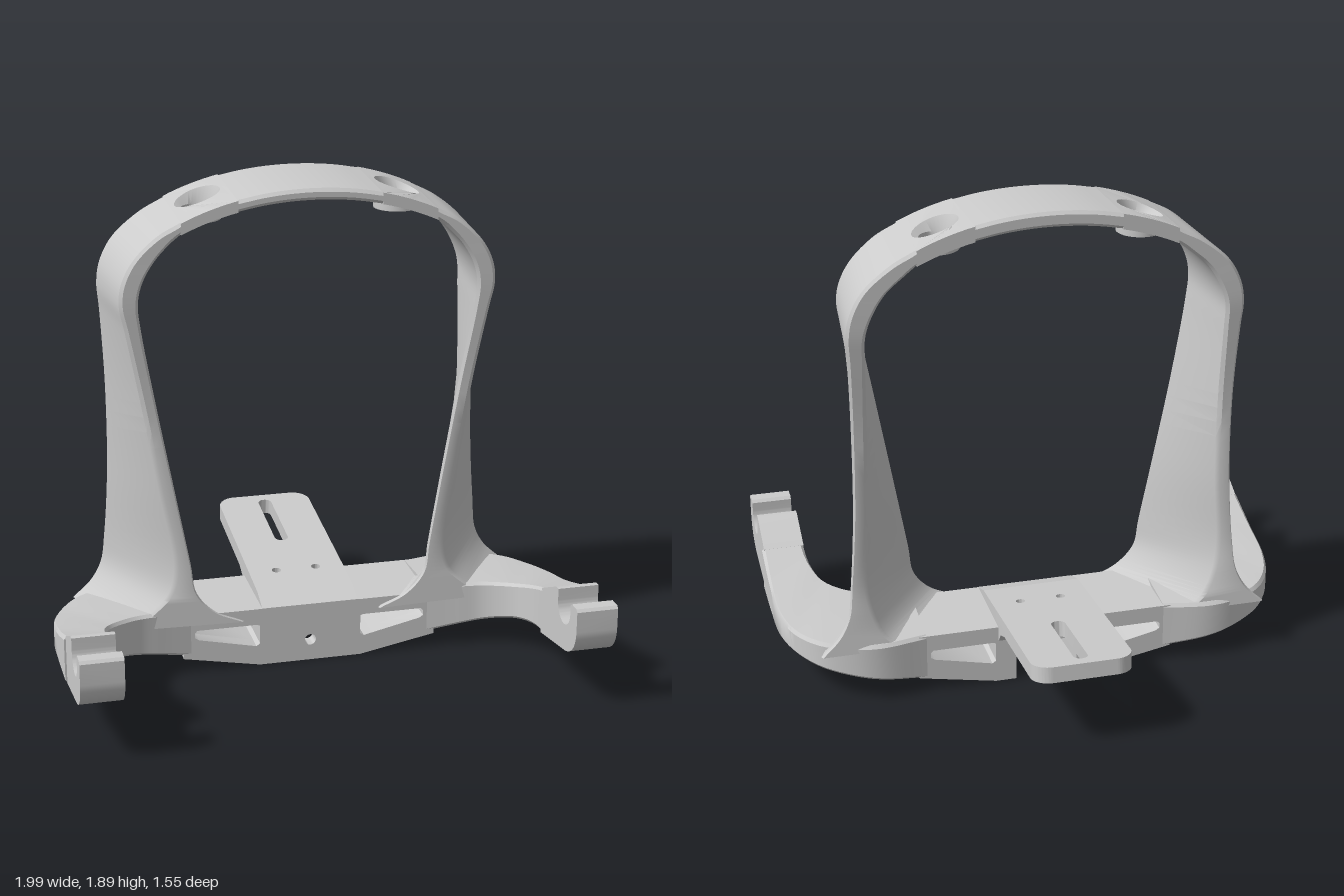
import * as THREE from 'three';
import { toCreasedNormals } from 'three/addons/utils/BufferGeometryUtils.js';

const V = (x, y, z) => new THREE.Vector3(x, y, z);
const lerp = THREE.MathUtils.lerp;

// Make a closed solid face outwards and give it creased normals
function finish(geo) {
  const g = geo.index ? geo.toNonIndexed() : geo;
  const p = g.attributes.position, a = V(), b = V(), c = V();
  let volume = 0;
  for (let i = 0; i < p.count; i += 3) {
    a.fromBufferAttribute(p, i); b.fromBufferAttribute(p, i + 1); c.fromBufferAttribute(p, i + 2);
    volume += a.dot(b.cross(c));
  }
  if (volume < 0) {
    for (let i = 0; i < p.count; i += 3) {
      b.fromBufferAttribute(p, i + 1); c.fromBufferAttribute(p, i + 2);
      p.setXYZ(i + 1, c.x, c.y, c.z); p.setXYZ(i + 2, b.x, b.y, b.z);
    }
  }
  g.deleteAttribute('normal');
  return toCreasedNormals(g, 0.6);
}

// Cut the four corners of a section, giving eight points
function bevel(q, r = 0.012) {
  const out = [];
  q.forEach((p, i) => {
    for (const n of [q[(i + 3) % 4], q[(i + 1) % 4]]) {
      const d = n.clone().sub(p), len = d.length();
      out.push(p.clone().addScaledVector(d, Math.min(r, len * 0.3) / len));
    }
  });
  return out;
}

// Smooth solid through a row of four-cornered sections
function loft(rows, samples) {
  const curves = [0, 1, 2, 3].map(k => new THREE.CatmullRomCurve3(rows.map(r => r[k])));
  const pos = [], n = 8;
  for (let i = 0; i <= samples; i++) {
    for (const p of bevel(curves.map(c => c.getPoint(i / samples)))) pos.push(p.x, p.y, p.z);
  }
  const idx = [], last = samples * n;
  for (let i = 0; i < samples; i++) for (let j = 0; j < n; j++) {
    const a = i * n + j, b = i * n + (j + 1) % n;
    idx.push(a, b, a + n, b, b + n, a + n);
  }
  for (let j = 1; j < n - 1; j++) idx.push(0, j + 1, j, last, last + j, last + j + 1);
  const g = new THREE.BufferGeometry();
  g.setAttribute('position', new THREE.Float32BufferAttribute(pos, 3));
  g.setIndex(idx);
  return g;
}

const poly = pts => new THREE.Shape(pts.map(p => new THREE.Vector2(p[0], p[1])));
const circle = (x, y, r) => new THREE.Path().absarc(x, y, r, 0, Math.PI * 2, true);
const extrude = (shape, depth) =>
  new THREE.ExtrudeGeometry(shape, { depth, bevelEnabled: false, curveSegments: 16 });

// Crown of the hoop: height of its outer and inner skin
const crown = (x, z) => 1.89 - 0.375 * x * x - 0.25 * x ** 4 - 0.015 * (z + 0.27) / 0.37;
const crownIn = x => 1.832 - 0.375 * x * x - 0.25 * x ** 4;
const crownRow = x => [V(x, crown(x, 0.1), 0.1), V(x, crown(x, -0.27), -0.27),
  V(x, crownIn(x), -0.27), V(x, crownIn(x), 0.1)];

// Linear look-up through [input, output] pairs
function ramp(t, table) {
  for (let i = 1; i < table.length; i++) {
    const [a, va] = table[i - 1], [b, vb] = table[i];
    if (t <= b) return lerp(va, vb, Math.max(0, (t - a) / (b - a)));
  }
  return table[table.length - 1][1];
}
const frontZ = y => ramp(y, [[0.2, 0.115], [0.5, 0.1], [1, 0.08], [1.5, 0.1]]);
const backZ = y => ramp(y, [[0.2, -0.26], [0.5, -0.225], [1, -0.22], [1.5, -0.27]]);

export function createModel() {
  const model = new THREE.Group();
  const material = new THREE.MeshStandardMaterial({ color: 0xcccccc });
  const add = (name, geo) => {
    const mesh = new THREE.Mesh(finish(geo), material);
    mesh.name = name;
    model.add(mesh);
  };
  const addPair = (name, geo) => {
    add('left' + name, geo.clone());
    add('right' + name, geo.clone().scale(-1, 1, 1));
  };

  // Twisted hoop legs: x,y of front outer, front inner, back outer, back inner corners
  const legRows = [
    [0.70, 0.21, 0.26, 0.20, 0.88, 0.21, 0.56, 0.21],
    [0.62, 0.27, 0.37, 0.25, 0.81, 0.28, 0.63, 0.27],
    [0.55, 0.34, 0.44, 0.33, 0.77, 0.36, 0.67, 0.36],
    [0.525, 0.45, 0.46, 0.45, 0.755, 0.48, 0.69, 0.48],
    [0.575, 0.75, 0.515, 0.75, 0.735, 0.75, 0.675, 0.75],
    [0.635, 1.1, 0.58, 1.1, 0.73, 1.1, 0.672, 1.1],
    [0.69, 1.38, 0.63, 1.38, 0.737, 1.38, 0.672, 1.38],
    [0.71, 1.48, 0.64, 1.48, 0.742, 1.48, 0.67, 1.48],
    [0.70, 1.56, 0.625, 1.555, 0.728, 1.56, 0.645, 1.555],
    [0.655, 1.645, 0.58, 1.635, 0.68, 1.65, 0.595, 1.635],
    [0.565, 1.73, 0.52, 1.70, 0.575, 1.74, 0.52, 1.70],
  ].map(([a, b, c, d, e, f, g, h]) => [
    V(a, b, frontZ(b)), V(e, f, backZ(f)), V(g, h, backZ(h)), V(c, d, frontZ(d))]);
  legRows.push(crownRow(0.48));
  addPair('HoopLeg', loft(legRows, 66));

  // Crown between the two bolt holes
  add('hoopCrown', loft([-0.27, -0.18, -0.09, 0, 0.09, 0.18, 0.27].map(crownRow), 18));

  // Crown panels, each with a hole, bent to the crown
  const outline = [];
  for (let i = 0; i <= 8; i++) outline.push([0.27 + 0.21 * i / 8, -0.1]);
  for (let i = 8; i >= 0; i--) outline.push([0.27 + 0.21 * i / 8, 0.27]);
  const panelShape = poly(outline);
  panelShape.holes.push(circle(0.38, 0.11, 0.085));
  const panel = extrude(panelShape, 1).rotateX(-Math.PI / 2);
  const pp = panel.attributes.position;
  for (let i = 0; i < pp.count; i++) {
    const x = pp.getX(i);
    pp.setY(i, pp.getY(i) > 0.5 ? crown(x, pp.getZ(i)) : crownIn(x));
  }
  addPair('CrownPanel', panel);

  // Countersunk bosses in the panels
  const boss = new THREE.LatheGeometry([[0.06, 1.74], [0.088, 1.74], [0.088, 1.77],
    [0.085, 1.83], [0.06, 1.78], [0.06, 1.74]].map(p => new THREE.Vector2(...p)), 32);
  boss.translate(0.38, 0, -0.11);
  const bp = boss.attributes.position;
  for (let i = 0; i < bp.count; i++) {
    if (bp.getY(i) > 1.8) bp.setY(i, crown(bp.getX(i), bp.getZ(i)));
  }
  addPair('BoltBoss', boss);

  // Centre of the base: pierced front wall, and a rear part with a pocket
  const windows = [1, -1].map(s => new THREE.Path([[0.2, 0.165], [0.21, 0.17], [0.445, 0.17],
    [0.455, 0.16], [0.455, 0.14], [0.44, 0.13], [0.215, 0.08], [0.2, 0.09]]
    .map(p => new THREE.Vector2(s * p[0], p[1]))));
  const sides = [[0.2, 0], [0.5, 0.057], [0.5, 0.235], [-0.5, 0.235], [-0.5, 0.057], [-0.2, 0]];
  const wall = poly(sides);
  wall.holes.push(...windows, circle(0, 0.085, 0.022));
  add('baseFrontWall', extrude(wall, 0.06).translate(0, 0, 0.03));
  const rear = poly([...sides, [-0.12, 0], [-0.12, 0.15], [0.12, 0.15], [0.12, 0]]);
  rear.holes.push(...windows);
  add('baseRear', extrude(rear, 0.27).translate(0, 0, -0.24));

  // Curved arms sweeping forward: outer x,z and inner x,z
  const top = z => ramp(z, [[-0.1, 0.238], [0, 0.245], [0.2, 0.285], [0.41, 0.353]]);
  const bottom = (x, z) =>
    lerp(0.19 * (x - 0.2), 0.167, THREE.MathUtils.smoothstep(z, 0, 0.41));
  const armRows = [
    [0.47, -0.24, 0.47, 0.09], [0.65, -0.27, 0.59, 0.11], [0.76, -0.25, 0.68, 0.13],
    [0.87, -0.19, 0.745, 0.17], [0.95, -0.08, 0.79, 0.22], [0.988, 0.05, 0.818, 0.29],
    [0.995, 0.22, 0.828, 0.35], [0.995, 0.41, 0.83, 0.41],
  ].map(([ox, oz, ix, iz]) => [V(ix, top(iz), iz), V(ox, top(oz), oz),
    V(ox, bottom(ox, oz), oz), V(ix, bottom(ix, iz), iz)]);
  addPair('Arm', loft(armRows, 42));

  // Open hooks at the arm ends, drawn as z,y
  const hook = new THREE.Shape();
  hook.moveTo(0.4, 0.165);
  hook.lineTo(0.66, 0.21);
  hook.bezierCurveTo(0.73, 0.225, 0.77, 0.27, 0.772, 0.33);
  hook.lineTo(0.772, 0.41);
  hook.lineTo(0.762, 0.42);
  hook.lineTo(0.715, 0.42);
  hook.lineTo(0.703, 0.41);
  hook.lineTo(0.703, 0.375);
  hook.absarc(0.638, 0.375, 0.065, 0, -Math.PI, true);
  hook.lineTo(0.573, 0.42);
  hook.lineTo(0.55, 0.42);
  hook.lineTo(0.4, 0.35);
  addPair('Hook', extrude(hook, 0.158).rotateY(-Math.PI / 2).translate(0.988, 0, 0));

  // Sloping rear plate with slot and screw holes
  const plate = new THREE.Shape();
  const w = 0.19, len = 0.78, r = 0.07;
  plate.moveTo(-w, 0);
  plate.lineTo(w, 0);
  plate.lineTo(w, len - r);
  plate.absarc(w - r, len - r, r, 0, Math.PI / 2, false);
  plate.absarc(r - w, len - r, r, Math.PI / 2, Math.PI, false);
  const slot = new THREE.Path();
  slot.absarc(0, 0.41, 0.027, Math.PI, Math.PI * 2, false);
  slot.absarc(0, 0.71, 0.027, 0, Math.PI, false);
  plate.holes.push(slot, circle(0.08, 0.15, 0.018), circle(-0.08, 0.15, 0.018));
  add('rearPlate', extrude(plate, 0.062).translate(0, 0, -0.062)
    .rotateX(-Math.PI / 2 + 0.113).translate(0, 0.268, 0));

  // Ramp in front of the plate and gusset under it, drawn as z,y
  const rib = (name, pts) =>
    add(name, extrude(poly(pts), 0.38).rotateY(-Math.PI / 2).translate(0.19, 0, 0));
  rib('plateRamp', [[0.09, 0.2], [0.09, 0.236], [0, 0.268], [-0.02, 0.2]]);
  rib('plateGusset', [[-0.22, 0.16], [-0.245, 0.18], [-0.275, 0.22], [-0.34, 0.246],
    [-0.34, 0.27], [-0.22, 0.26]]);

  return model;
}
